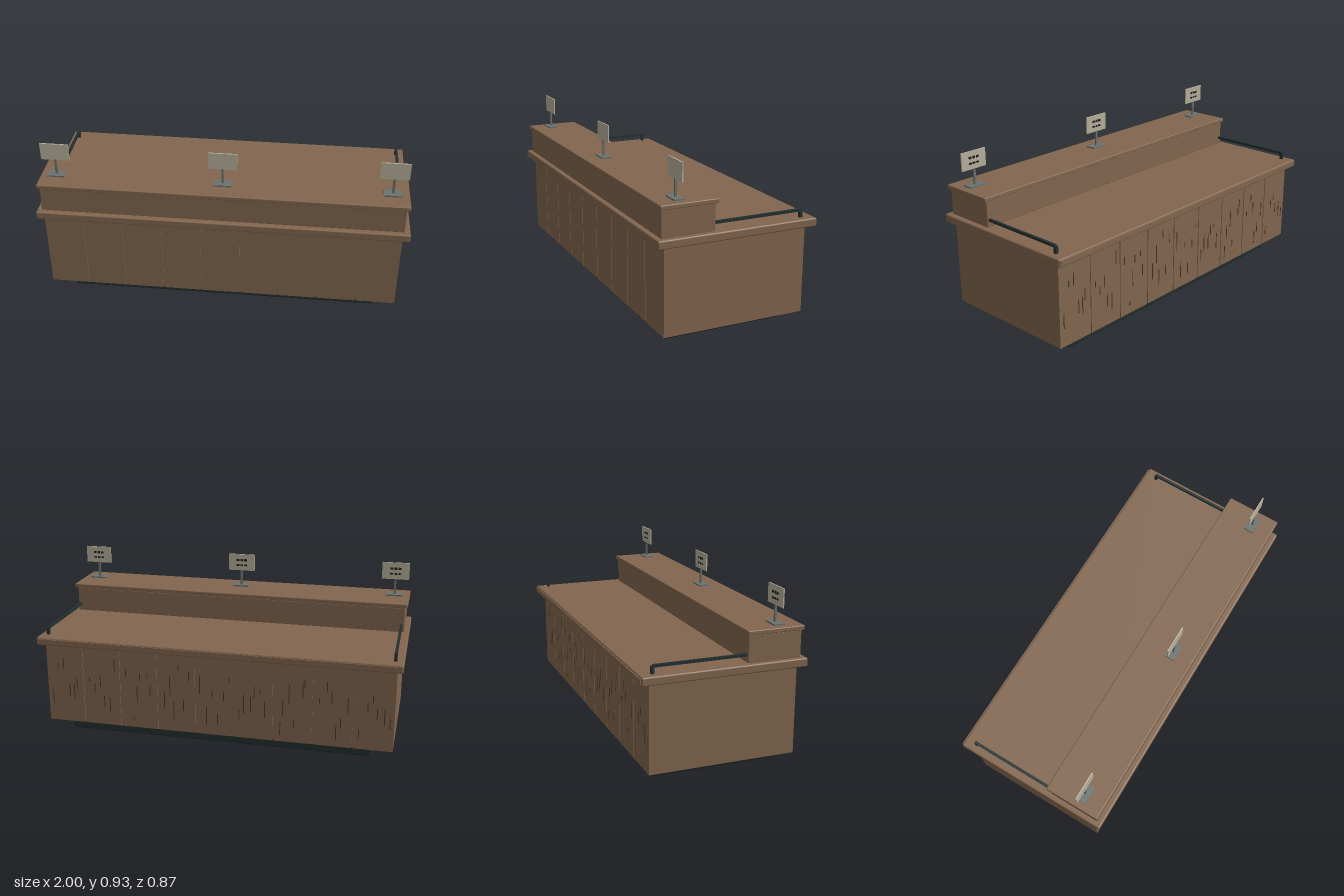
import * as THREE from 'three';
import { RoundedBoxGeometry } from 'three/addons/geometries/RoundedBoxGeometry.js';

const mat = (name, color) => {
  const m = new THREE.MeshStandardMaterial({ color });
  m.name = name;
  return m;
};

// Mesh spanning [x0,x1] x [y0,y1] x [z0,z1], rounded when a radius is given
function block(parent, name, material, [x0, x1], [y0, y1], [z0, z1], radius = 0) {
  const w = x1 - x0, h = y1 - y0, d = z1 - z0;
  const geo = radius ? new RoundedBoxGeometry(w, h, d, 2, radius) : new THREE.BoxGeometry(w, h, d);
  const mesh = new THREE.Mesh(geo, material);
  mesh.name = name;
  mesh.position.set((x0 + x1) / 2, (y0 + y1) / 2, (z0 + z1) / 2);
  parent.add(mesh);
  return mesh;
}

export function createModel() {
  const wood = mat('wood', 0x82664e);
  const grain = mat('dark grain', 0x4a3829);
  const dark = mat('dark plinth', 0x22302f);
  const metal = mat('metal', 0x6b726e);
  const card = mat('sign card', 0xb6b09a);
  const ink = mat('ink', 0x1c1f1e);

  const model = new THREE.Group();
  model.name = 'serviceCounter';

  let seed = 11;
  const rand = () => (seed = (seed * 16807) % 2147483647) / 2147483647;

  // Plinth and solid core
  block(model, 'plinth', dark, [-0.856, 0.853], [0, 0.067], [-0.33, 0.336], 0.012);
  block(model, 'cabinetCore', wood, [-0.96, 0.955], [0.072, 0.53], [-0.38, 0.385]);

  // Nine planks with narrow grooves, grain streaks on the back
  const planks = new THREE.Group();
  planks.name = 'planks';
  model.add(planks);
  const count = 9, left = -0.97, step = 0.2151, gap = 0.003;
  for (let i = 0; i < count; i++) {
    const x0 = left + i * step + (i ? gap : 0);
    const x1 = left + (i + 1) * step - (i < count - 1 ? gap : 0);
    block(planks, 'plank', wood, [x0, x1], [0.068, 0.53], [-0.385, 0.391]);
    for (let k = 0; k < 6; k++) {
      const x = x0 + 0.02 + (k + rand() * 0.7) * 0.029;
      const len = 0.02 + rand() * 0.09;
      const y = 0.1 + rand() * (0.37 - len);
      block(planks, 'grainStreak', grain, [x, x + 0.005], [y, y + len], [-0.387, -0.384]);
    }
  }

  // Worktop with a thin edge strip at the back
  block(model, 'worktop', wood, [-1, 1], [0.527, 0.572], [-0.431, 0.437], 0.008);
  block(model, 'worktopEdgeStrip', wood, [-0.99, 0.99], [0.537, 0.564], [-0.437, -0.429]);

  // Raised front shelf
  block(model, 'shelfRiser', wood, [-0.972, 0.97], [0.57, 0.712], [0.122, 0.409], 0.005);
  block(model, 'shelfTop', wood, [-0.985, 0.985], [0.712, 0.736], [0.113, 0.419], 0.005);

  // Side rails
  for (const s of [-1, 1]) {
    const rail = new THREE.Group();
    rail.name = s > 0 ? 'leftRail' : 'rightRail';
    const x = s * 0.955;
    block(rail, 'railBar', dark, [x - 0.007, x + 0.007], [0.603, 0.617], [-0.362, 0.125]);
    block(rail, 'railPost', dark, [x - 0.008, x + 0.008], [0.57, 0.611], [-0.371, -0.355]);
    model.add(rail);
  }

  // Three stand signs with plain printed dashes on the back
  for (const x of [-0.899, 0, 0.896]) {
    const sign = new THREE.Group();
    sign.name = 'sign';
    sign.position.x = x;
    block(sign, 'signBase', metal, [-0.048, 0.048], [0.735, 0.744], [0.272, 0.329]);
    block(sign, 'signPost', metal, [-0.006, 0.006], [0.743, 0.832], [0.295, 0.305]);
    block(sign, 'signCard', card, [-0.077, 0.077], [0.829, 0.926], [0.297, 0.304]);
    for (const [y, h] of [[0.885, 0.013], [0.856, 0.01]])
      for (let i = -1; i <= 1; i++)
        block(sign, 'printedDash', ink, [i * 0.023 - 0.008, i * 0.023 + 0.008], [y, y + h], [0.295, 0.298]);
    model.add(sign);
  }
  return model;
}
